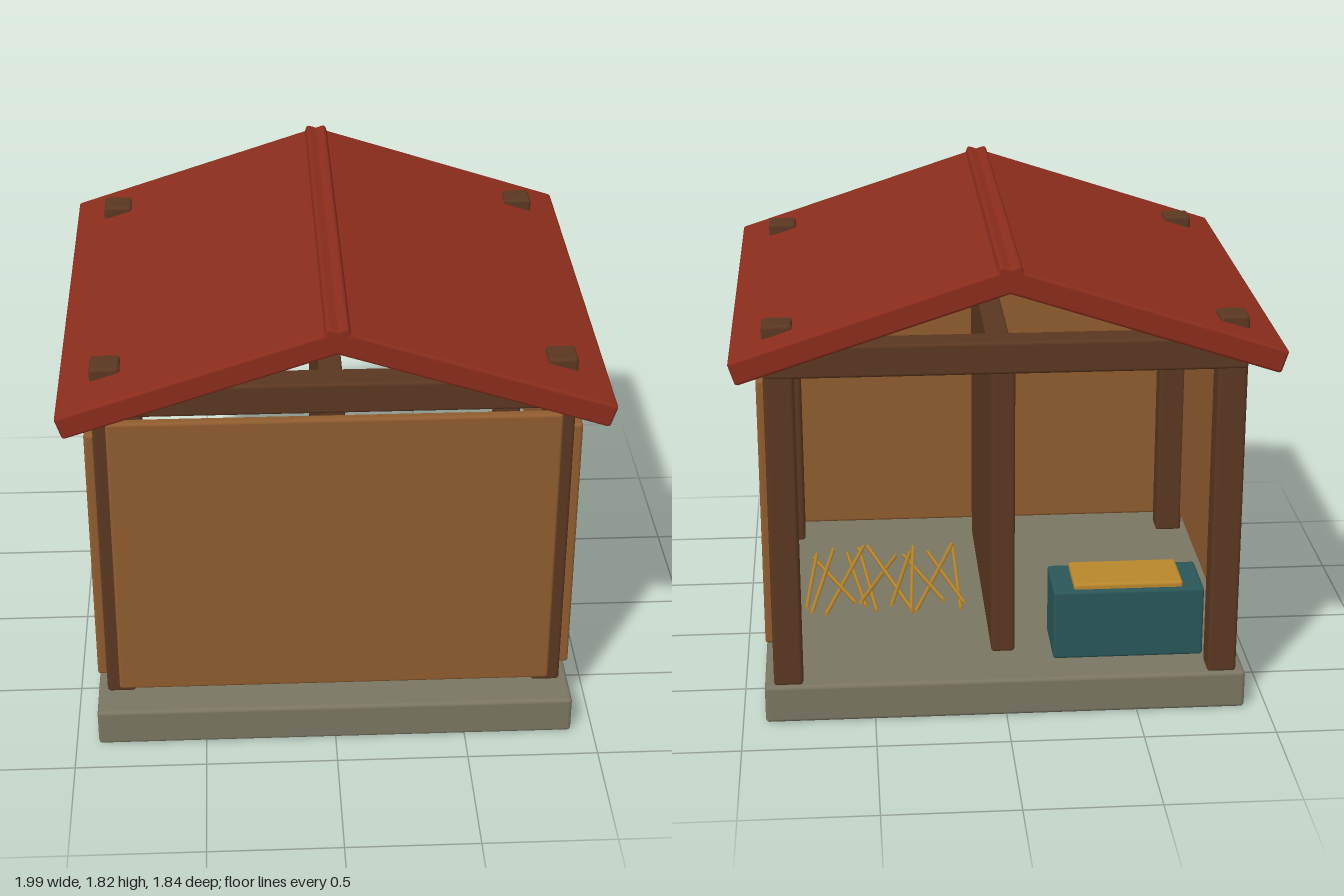
import * as THREE from 'three';
import { RoundedBoxGeometry } from 'three/addons/geometries/RoundedBoxGeometry.js';

const mat = (color) => new THREE.MeshStandardMaterial({ color });

export function createModel() {
  const model = new THREE.Group();
  model.name = 'shelter';
  const timber = mat(0x5a3720), board = mat(0x8f5c2e), stone = mat(0x7a7562);
  const red = mat(0x8a2c1c), teal = mat(0x2a5658), gold = mat(0xb8862b);

  // Softly rounded box given by its min and max corners
  function box(name, material, [x0, y0, z0], [x1, y1, z1], radius = 0.012) {
    const mesh = new THREE.Mesh(new RoundedBoxGeometry(x1 - x0, y1 - y0, z1 - z0, 3, radius), material);
    mesh.position.set((x0 + x1) / 2, (y0 + y1) / 2, (z0 + z1) / 2);
    mesh.name = name;
    model.add(mesh);
    return mesh;
  }

  // Floor slab
  box('floorSlab', stone, [-0.915, 0, -0.79], [0.915, 0.15, 0.86], 0.015);

  // Corner posts and the cross beams joining each pair
  for (const [end, z] of [['front', 0.665], ['back', -0.718]]) {
    for (const x of [-0.825, 0.825]) {
      box(end + 'Post', timber, [x - 0.055, 0.145, z - 0.056], [x + 0.055, 1.572, z + 0.056], 0.014);
    }
    box(end + 'Beam', timber, [-0.88, 1.37, z - 0.06], [0.88, 1.492, z + 0.06]);
  }

  // Wall panels and the middle partition; the back stays open
  box('frontWall', board, [-0.83, 0.185, 0.718], [0.83, 1.365, 0.76]);
  for (const s of [-1, 1]) {
    const x = s * 0.895;
    box('sideWall', board, [x - 0.02, 0.215, -0.545], [x + 0.02, 1.287, 0.7]);
  }
  box('partition', timber, [-0.045, 0.172, -0.595], [0.045, 1.37, 0.595]);

  // Two roof slabs that cross at the ridge
  for (const s of [-1, 1]) {
    const slab = box('roofSlab', red, [-0.545, -0.045, -0.918], [0.545, 0.045, 0.918]);
    slab.position.set(s * 0.467, 1.608, 0);
    slab.rotation.z = -s * 0.315;
  }

  // Feed box with its filling
  box('feedBox', teal, [-0.77, 0.16, -0.65], [-0.19, 0.442, -0.39]);
  box('feed', gold, [-0.69, 0.42, -0.63], [-0.27, 0.464, -0.41]);

  // Loose straw: fanned, alternately tilted stalks
  const straw = new THREE.Group();
  straw.name = 'straw';
  const stalk = new THREE.CylinderGeometry(0.008, 0.008, 0.6, 6).rotateX(Math.PI / 2);
  const count = 14;
  for (let i = 0; i < count; i++) {
    const t = i / (count - 1);
    const mesh = new THREE.Mesh(stalk, gold);
    mesh.name = 'strawStalk';
    mesh.position.set(0.14 + 0.6 * t, 0.185, 0.1);
    mesh.rotation.set((i % 2 ? 1 : -1) * (0.03 + 0.02 * (i % 4)), 0.3 * Math.sin(i * 2.4), 0, 'YXZ');
    straw.add(mesh);
  }
  model.add(straw);

  return model;
}
